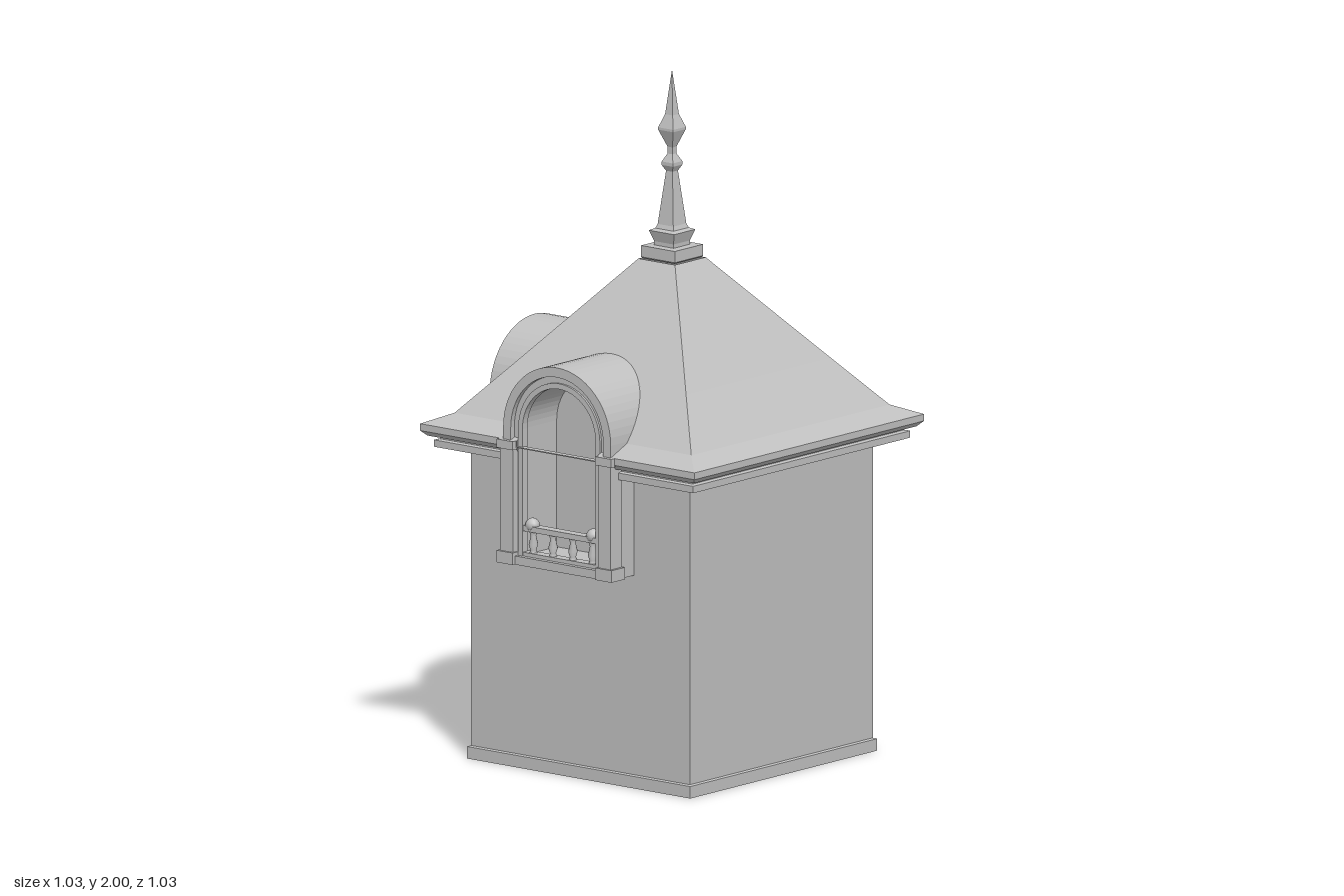
import * as THREE from 'three';

const stone = new THREE.MeshStandardMaterial({ color: 0xc0c0c0, side: THREE.DoubleSide });
stone.name = 'grey stone';

function add(parent, name, geometry, x = 0, y = 0, z = 0) {
  const mesh = new THREE.Mesh(geometry, stone);
  mesh.name = name;
  mesh.position.set(x, y, z);
  parent.add(mesh);
  return mesh;
}

// box given by its limits on each axis
function block(parent, name, x0, x1, y0, y1, z0, z1) {
  return add(parent, name, new THREE.BoxGeometry(x1 - x0, y1 - y0, z1 - z0),
    (x0 + x1) / 2, (y0 + y1) / 2, (z0 + z1) / 2);
}

function faceted(geometry) {
  const flat = geometry.toNonIndexed();
  flat.computeVertexNormals();
  return flat;
}

// one face of a square tower: [half width, y] rows, optionally with a gap for a dormer
const GAP = 0.15, GAP_BOTTOM = 0.635, GAP_TOP = 1.15;
function towerFace(rows, gap) {
  const positions = [];
  const columns = ([r, y]) => {
    const n = Math.min(GAP, r);
    return [-r, -n, n, r].map((x) => [x, y, r]);
  };
  for (let i = 0; i < rows.length - 1; i++) {
    const lower = columns(rows[i]), upper = columns(rows[i + 1]);
    const middle = (rows[i][1] + rows[i + 1][1]) / 2;
    for (let j = 0; j < 3; j++) {
      if (gap && j === 1 && middle > GAP_BOTTOM && middle < GAP_TOP) continue;
      const [a, b, c, d] = [lower[j], lower[j + 1], upper[j + 1], upper[j]];
      positions.push(...a, ...b, ...c, ...a, ...c, ...d);
    }
  }
  const geometry = new THREE.BufferGeometry();
  geometry.setAttribute('position', new THREE.Float32BufferAttribute(positions, 3));
  geometry.computeVertexNormals();
  return geometry;
}

// round-headed outline with its spring line at y = 1.015
const SPRING = 1.015;
function archPath(path, r, bottom) {
  path.moveTo(-r, bottom);
  path.lineTo(r, bottom);
  path.lineTo(r, SPRING);
  path.absarc(0, SPRING, r, 0, Math.PI, false);
  path.lineTo(-r, bottom);
  return path;
}

function archRing(parent, name, outer, inner, bottom, z0, z1) {
  const shape = archPath(new THREE.Shape(), outer, bottom);
  shape.holes.push(archPath(new THREE.Path(), inner, bottom + 0.003));
  const geometry = new THREE.ExtrudeGeometry(shape,
    { depth: z1 - z0, bevelEnabled: false, curveSegments: 14 });
  return add(parent, name, geometry, 0, 0, z0);
}

function createDormer() {
  const dormer = new THREE.Group();
  dormer.name = 'dormer';
  archRing(dormer, 'dormerVault', 0.2, 0.14, 0.622, 0.25, 0.495);
  archRing(dormer, 'archMoulding', 0.2, 0.172, 0.96, 0.49, 0.511);
  archRing(dormer, 'innerArchMoulding', 0.152, 0.136, 0.64, 0.48, 0.502);
  add(dormer, 'recessPanel',
    new THREE.ShapeGeometry(archPath(new THREE.Shape(), 0.145, 0.63), 14), 0, 0, 0.345);
  block(dormer, 'sill', -0.2, 0.2, 0.62, 0.645, 0.345, 0.515);

  // pilasters with base and capital
  for (const side of [-1, 1]) {
    const span = (a, b) => [Math.min(side * a, side * b), Math.max(side * a, side * b)];
    block(dormer, 'pilasterBase', ...span(0.153, 0.214), 0.62, 0.655, 0.465, 0.525);
    block(dormer, 'pilaster', ...span(0.158, 0.205), 0.655, 0.955, 0.47, 0.518);
    block(dormer, 'pilasterCapital', ...span(0.153, 0.213), 0.955, 0.98, 0.465, 0.525);
  }

  // balustrade
  block(dormer, 'bottomRail', -0.138, 0.138, 0.645, 0.656, 0.468, 0.5);
  block(dormer, 'topRail', -0.138, 0.138, 0.718, 0.734, 0.468, 0.5);
  const baluster = new THREE.LatheGeometry([
    [0.012, 0.655], [0.009, 0.664], [0.014, 0.68], [0.008, 0.705], [0.013, 0.72],
  ].map(([r, y]) => new THREE.Vector2(r, y)), 10);
  for (const x of [-0.11, -0.037, 0.037, 0.11]) add(dormer, 'baluster', baluster, x, 0, 0.484);
  for (const x of [-0.113, 0.113]) {
    add(dormer, 'railKnob', new THREE.SphereGeometry(0.021, 10, 8), x, 0.736, 0.484);
  }
  return dormer;
}

export function createModel() {
  const model = new THREE.Group();
  model.name = 'towerTop';
  const tower = new THREE.Group();
  tower.name = 'tower';
  tower.position.set(0.01, 0, -0.01);
  model.add(tower);

  const walls = [[0.415, 0], [0.415, 0.035], [0.407, 0.038],
    [0.407, GAP_BOTTOM], [0.407, 0.912]];
  const cornice = [[0.407, 0.912], [0.482, 0.912], [0.482, 0.932], [0.47, 0.935],
    [0.47, 0.942], [0.495, 0.945], [0.51, 0.96], [0.51, 0.98]];
  const roof = [[0.51, 0.98], [0.44, 1.01], [0.321, GAP_TOP], [0.068, 1.45]];
  const cap = [[0.057, 1.45], [0.063, 1.455], [0.063, 1.488], [0.0, 1.49]];

  // four sides; the front and the right carry dormers
  for (let i = 0; i < 4; i++) {
    const side = new THREE.Group();
    side.name = 'side' + (i + 1);
    side.rotation.y = -i * Math.PI / 2;
    tower.add(side);
    const gap = i < 2;
    add(side, 'wall', towerFace(walls, gap));
    add(side, 'cornice', towerFace(cornice, gap));
    add(side, 'roofSlope', towerFace(roof, gap));
    add(side, 'roofCap', towerFace(cap, false));
    if (gap) side.add(createDormer());
  }

  // square finial
  const finial = [[0.036, 1.488], [0.036, 1.5], [0.047, 1.532], [0.034, 1.538], [0.029, 1.55],
    [0.012, 1.705], [0.021, 1.722], [0.021, 1.732], [0.009, 1.755], [0.009, 1.775],
    [0.028, 1.825], [0.028, 1.832], [0.014, 1.87], [0, 2]]
    .map(([half, y]) => new THREE.Vector2(half * Math.SQRT2, y));
  add(tower, 'finial', faceted(new THREE.LatheGeometry(finial, 4, Math.PI / 4)));

  return model;
}
